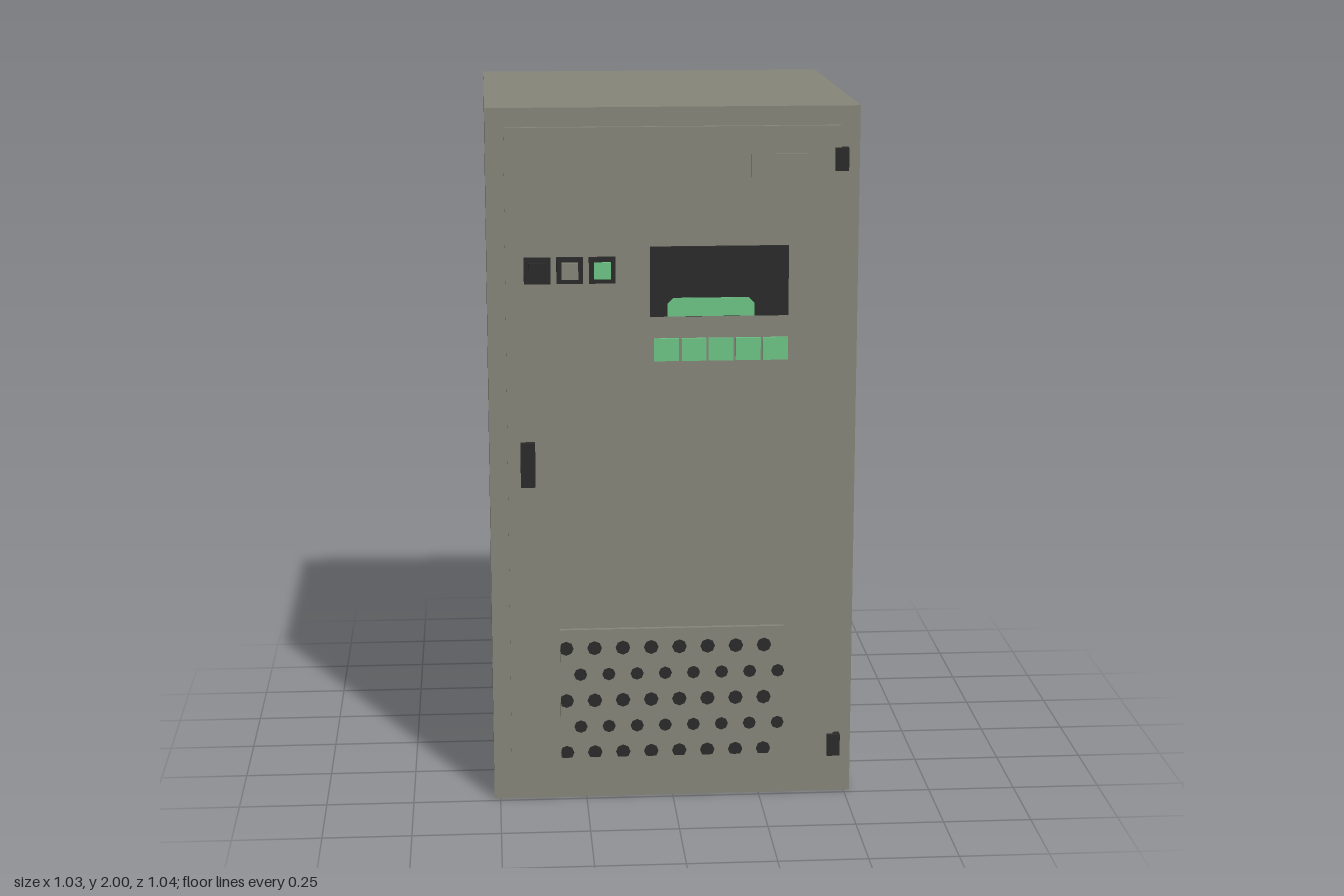
import * as THREE from 'three';

const mat = (name, color) => {
  const m = new THREE.MeshStandardMaterial({ color });
  m.name = name;
  return m;
};

export function createModel() {
  const model = new THREE.Group();
  model.name = 'cabinet';
  const grey = mat('cabinet grey', 0x87867a);
  const black = mat('black plastic', 0x2b2b2b);
  const green = mat('indicator green', 0x6ec687);

  // Box given by its limits on each axis
  const box = (name, m, x0, x1, y0, y1, z0, z1) => {
    const g = new THREE.BoxGeometry(x1 - x0, y1 - y0, z1 - z0);
    g.translate((x0 + x1) / 2, (y0 + y1) / 2, (z0 + z1) / 2);
    const mesh = new THREE.Mesh(g, m);
    mesh.name = name;
    model.add(mesh);
    return mesh;
  };

  // Housing and door
  box('housing', grey, -0.517, 0.517, 0, 2, -0.52, 0.484);
  box('door', grey, -0.466, 0.464, 0.055, 1.947, 0.48, 0.498);
  box('namePlate', grey, 0.215, 0.41, 1.78, 1.87, 0.495, 0.504);

  // Hinges and handle
  for (const y of [0.148, 1.854]) box('hinge', black, 0.447, 0.484, y - 0.032, y + 0.032, 0.484, 0.51);
  box('handle', black, -0.43, -0.389, 0.938, 1.065, 0.49, 0.518);

  // Three push buttons on black bezels
  [black, grey, green].forEach((m, i) => {
    const x = -0.378 + i * 0.09;
    box('buttonBezel', black, x - 0.037, x + 0.037, 1.515, 1.589, 0.49, 0.507);
    box('button', m, x - 0.023, x + 0.023, 1.529, 1.575, 0.5, 0.52);
  });

  // Display with a lit area that has bevelled upper corners
  box('display', black, -0.066, 0.32, 1.42, 1.616, 0.49, 0.509);
  const lit = new THREE.Shape([
    [-0.018, 1.421], [0.225, 1.421], [0.225, 1.456], [0.208, 1.473], [-0.001, 1.473], [-0.018, 1.456],
  ].map(([x, y]) => new THREE.Vector2(x, y)));
  const litArea = new THREE.Mesh(new THREE.ExtrudeGeometry(lit, { depth: 0.003, bevelEnabled: false }), green);
  litArea.name = 'displayLitArea';
  litArea.position.z = 0.508;
  model.add(litArea);

  // Row of keys below the display
  for (let i = 0; i < 5; i++) {
    const x = -0.055 + i * 0.0763;
    box('key', green, x, x + 0.07, 1.293, 1.357, 0.495, 0.506);
  }

  // Vent plate with staggered perforations, cut off at the plate edges
  const [x0, x1, y0, y1] = [-0.324, 0.319, 0.13, 0.515];
  box('ventPlate', grey, x0, x1, y0, y1, 0.49, 0.511);
  for (let row = 0; row < 5; row++) {
    for (let col = 0; col < 8; col++) {
      const cx = -0.307 + (col + (row % 2) / 2) * 0.081;
      const cy = 0.46 - row * 0.0785;
      const g = new THREE.CircleGeometry(row % 2 ? 0.019 : 0.021, 8);
      const p = g.attributes.position;
      for (let k = 0; k < p.count; k++) {
        p.setXYZ(k, THREE.MathUtils.clamp(p.getX(k) + cx, x0, x1),
          THREE.MathUtils.clamp(p.getY(k) + cy, y0, y1), 0.5125);
      }
      const hole = new THREE.Mesh(g, black);
      hole.name = 'ventHole';
      model.add(hole);
    }
  }
  return model;
}
